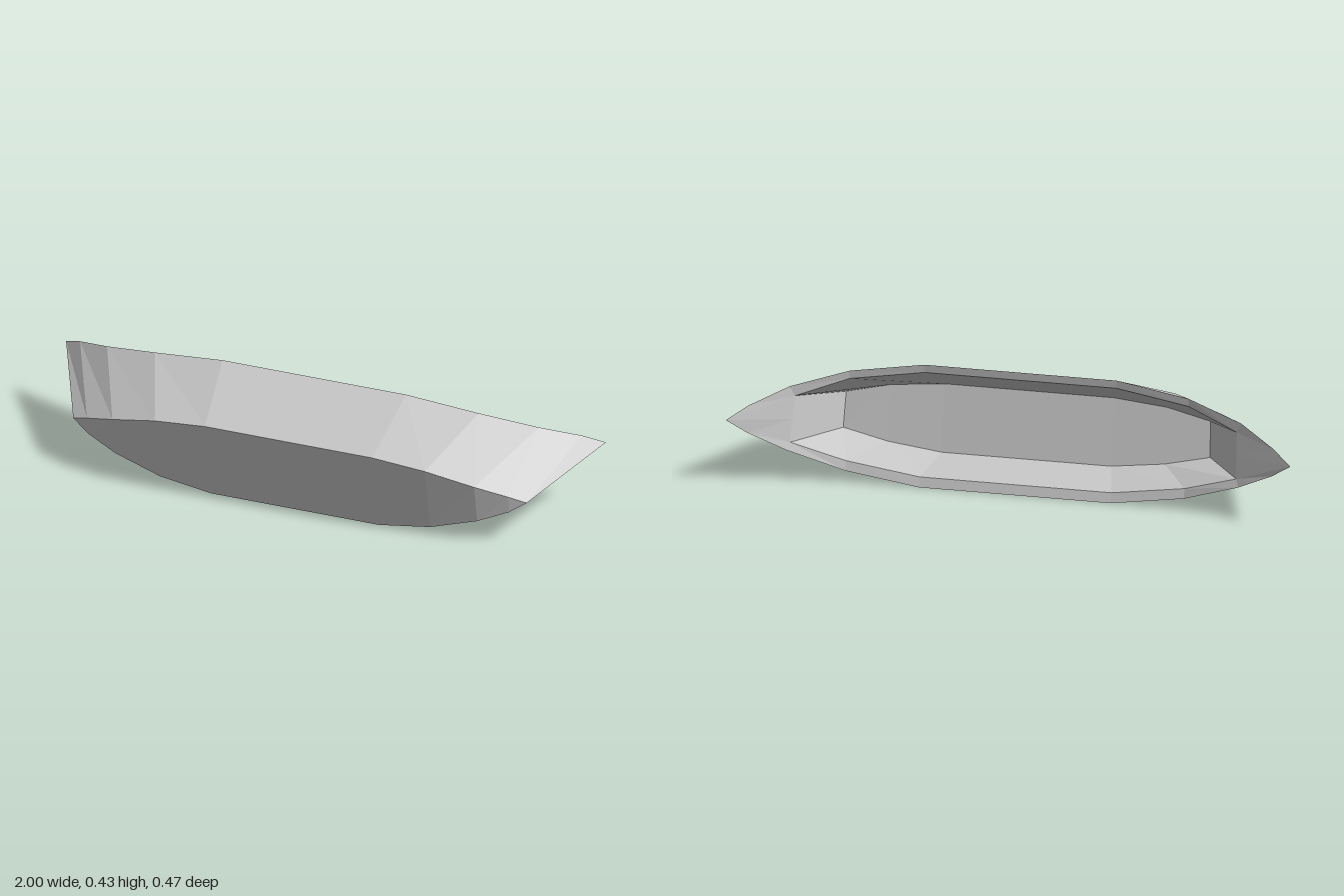
import * as THREE from 'three';

// Each ring: stations from the middle to the +x tip, along the lower and upper edge
const RINGS = {
  keel: {
    lower: [[0.31, 0, 0.17], [0.5, 0.03, 0.17], [0.67, 0.083, 0.16], [0.78, 0.13, 0.14]],
    upper: [[0.31, 0.305, 0.236], [0.5, 0.283, 0.225], [0.67, 0.235, 0.19], [0.78, 0.195, 0.148]],
    tip: [0.84, 0.17, 0.123],
  },
  outerRim: {
    lower: [[0.34, 0, -0.115], [0.6, 0.043, -0.121], [0.8, 0.12, -0.16], [0.93, 0.195, -0.206]],
    upper: [[0.34, 0.425, -0.021], [0.6, 0.39, -0.045], [0.8, 0.34, -0.107], [0.93, 0.29, -0.187]],
    tip: [1, 0.25, -0.236],
  },
  innerRim: {
    lower: [[0.34, 0.035, -0.104], [0.6, 0.077, -0.111], [0.79, 0.145, -0.145], [0.79, 0.145, -0.145]],
    upper: [[0.34, 0.395, -0.019], [0.6, 0.36, -0.044], [0.782, 0.304, -0.103], [0.782, 0.304, -0.103]],
    tip: [0.786, 0.2245, -0.124],
  },
  floor: {
    lower: [[0.3, 0.05, 0.085], [0.49, 0.075, 0.085], [0.65, 0.112, 0.09], [0.65, 0.112, 0.09]],
    upper: [[0.3, 0.287, 0.138], [0.49, 0.27, 0.132], [0.645, 0.237, 0.118], [0.645, 0.237, 0.118]],
    tip: [0.6475, 0.1745, 0.104],
  },
};

const mirror = ([x, y, z]) => [-x, y, z];

// Closed loop, counterclockwise as seen from the front
function loop({ lower, upper, tip }) {
  const half = [...lower, tip, ...[...upper].reverse()];
  return [...half, ...[...half].reverse().map(mirror)];
}

// Flat-sided geometry from quads, dropping collapsed triangles
function fromQuads(quads) {
  const pos = [];
  const tri = new THREE.Triangle();
  for (const [a, b, c, d] of quads) {
    for (const t of [[a, b, c], [a, c, d]]) {
      tri.set(...t.map((p) => new THREE.Vector3(...p)));
      if (tri.getArea() > 1e-7) pos.push(...t.flat());
    }
  }
  const geo = new THREE.BufferGeometry();
  geo.setAttribute('position', new THREE.Float32BufferAttribute(pos, 3));
  geo.computeVertexNormals();
  return geo;
}

// Band of quads joining two rings
function band(from, to) {
  const a = loop(from), b = loop(to), n = a.length;
  return fromQuads(a.map((p, i) => [p, b[i], b[(i + 1) % n], a[(i + 1) % n]]));
}

// Panel closing a ring with strips from its lower to its upper edge
function panel({ lower, upper, tip }, facesFront) {
  const lo = [...lower, tip], up = [...upper, tip];
  const quads = [[mirror(lo[0]), lo[0], up[0], mirror(up[0])]];
  for (let i = 0; i < lo.length - 1; i++) {
    const q = [lo[i], lo[i + 1], up[i + 1], up[i]];
    quads.push(q, q.map(mirror).reverse());
  }
  return fromQuads(facesFront ? quads : quads.map((q) => [...q].reverse()));
}

export function createModel() {
  const group = new THREE.Group();
  group.name = 'boatHull';
  const grey = new THREE.MeshStandardMaterial({ color: 0xcacaca });
  grey.name = 'hullGrey';
  grey.flatShading = true;

  const add = (name, geometry) => {
    const mesh = new THREE.Mesh(geometry, grey);
    mesh.name = name;
    group.add(mesh);
  };

  // Outside: flat bottom and flaring sides
  add('hullBottom', panel(RINGS.keel, true));
  add('hullSides', band(RINGS.keel, RINGS.outerRim));
  // Gunwale around the opening
  add('gunwale', band(RINGS.outerRim, RINGS.innerRim));
  // Inside: sloping walls and floor
  add('innerWalls', band(RINGS.innerRim, RINGS.floor));
  add('innerFloor', panel(RINGS.floor, false));
  return group;
}
